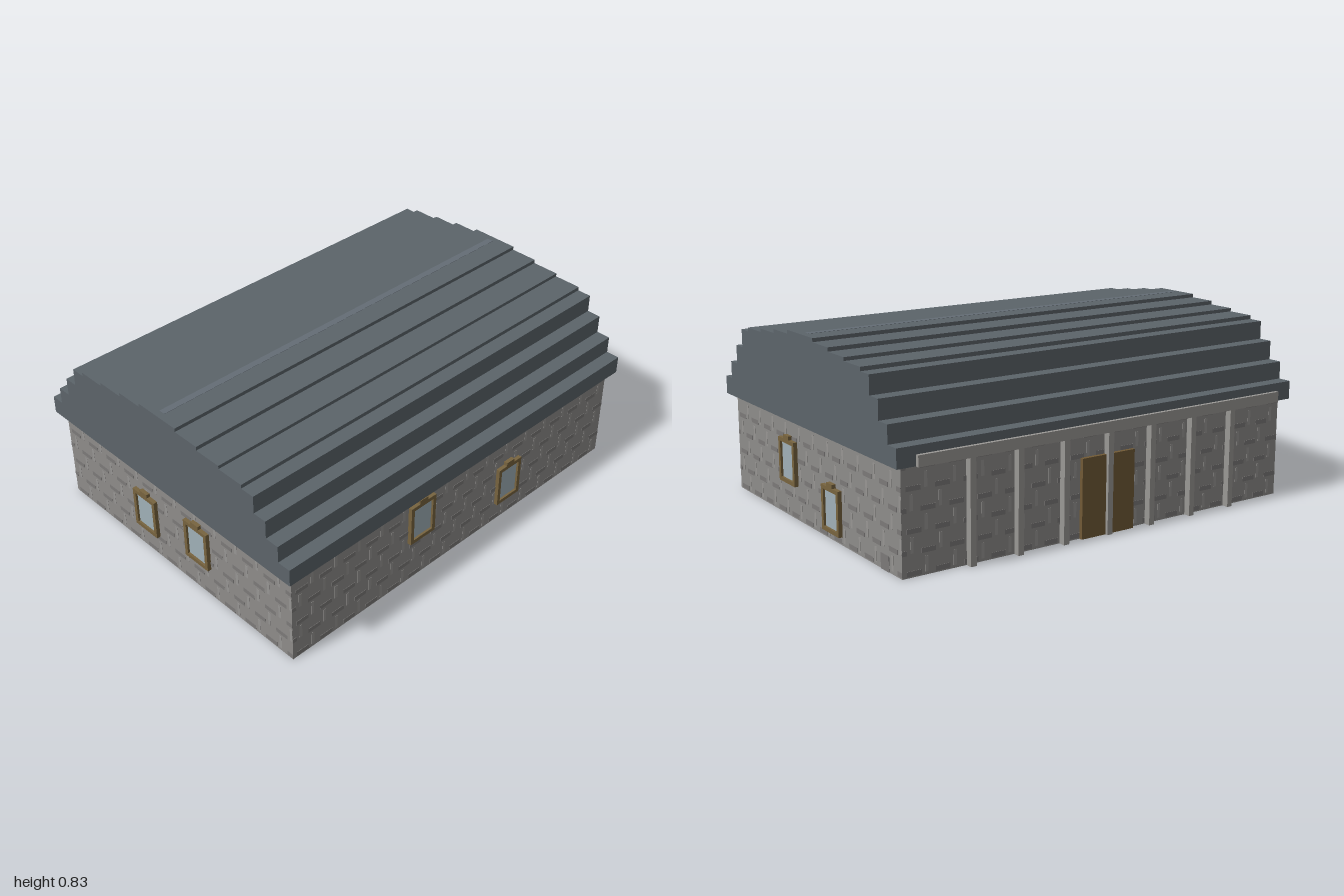
import * as THREE from 'three';
import { mergeGeometries } from 'three/addons/utils/BufferGeometryUtils.js';

const mat = (color) => new THREE.MeshStandardMaterial({ color });
const STONE = mat(0x8e8c8a), STONE_DARK = mat(0x7c7a79), STONE_LIGHT = mat(0x989694);
const ROOF = mat(0x5c646a), RIDGE = mat(0x646d75), FRAME = mat(0x78643f);
const GLASS = mat(0xa0b0b8), DOOR = mat(0x715a36), TRIM = mat(0x9a9895);

const CZ = 0.008;            // centre of the building in z
const HX = 0.965, HZ = 0.724; // half size of the walls
const WALL_TOP = 0.44;

function box(name, material, w, h, d, x, y, z) {
  const m = new THREE.Mesh(new THREE.BoxGeometry(w, h, d), material);
  m.name = name;
  m.position.set(x, y, z);
  return m;
}

// A group whose local +z points out of a wall
function wallFace(name, angle, x, z) {
  const g = new THREE.Group();
  g.name = name;
  g.position.set(x, 0, z);
  g.rotation.y = angle;
  return g;
}

// Shallow courses of dark stones and pale joints, merged into two meshes
function addMasonry(face, half) {
  const dark = [], light = [];
  const rowH = 0.083, pitch = 0.127;
  const strip = (list, x0, x1, y0, y1, d) => {
    x0 = Math.max(x0, -half);
    x1 = Math.min(x1, half);
    y1 = Math.min(y1, WALL_TOP);
    if (x1 - x0 < 0.005) return;
    list.push(new THREE.BoxGeometry(x1 - x0, y1 - y0, d)
      .translate((x0 + x1) / 2, (y0 + y1) / 2, 0));
  };
  for (let r = 0; r * rowH < WALL_TOP - 0.02; r++) {
    const y = r * rowH;
    for (let x = -half - (r % 2) * pitch / 2; x < half; x += pitch) {
      strip(dark, x + 0.02, x + 0.085, y + 0.006, y + 0.026, 0.003);
      strip(light, x + 0.1, x + 0.114, y + 0.012, y + 0.075, 0.002);
    }
  }
  for (const [name, list, material] of
    [['darkStones', dark, STONE_DARK], ['paleJoints', light, STONE_LIGHT]]) {
    const m = new THREE.Mesh(mergeGeometries(list), material);
    m.name = name;
    face.add(m);
  }
}

// Framed window with a small keystone; y is the sill height
function makeWindow(x, y) {
  const w = 0.072, h = 0.192, t = 0.017, k = 0.024;
  const outline = new THREE.Shape([
    [-w, 0], [w, 0], [w, h], [k, h], [k, h + 0.017], [-k, h + 0.017], [-k, h], [-w, h],
  ].map((p) => new THREE.Vector2(...p)));
  outline.holes.push(new THREE.Path([
    [-w + t, t], [-w + t, h - t], [w - t, h - t], [w - t, t],
  ].map((p) => new THREE.Vector2(...p))));
  const frame = new THREE.Mesh(
    new THREE.ExtrudeGeometry(outline, { depth: 0.018, bevelEnabled: false }), FRAME);
  frame.name = 'windowFrame';
  const g = new THREE.Group();
  g.name = 'window';
  g.add(frame, box('windowGlass', GLASS, 2 * (w - t), h - 2 * t, 0.016, 0, h / 2, 0));
  g.position.set(x, y, 0);
  return g;
}

// Stepped barrel roof extruded along x
function makeRoof() {
  const steps = [ // half width, top height
    [0.757, 0.52], [0.695, 0.597], [0.63, 0.68], [0.566, 0.76],
    [0.5, 0.777], [0.371, 0.792], [0.242, 0.809], [0.113, 0.825],
  ];
  const side = [];
  let y = WALL_TOP;
  for (const [w, top] of steps) {
    side.push([w, y], [w, top]);
    y = top;
  }
  const points = [...side, ...side.map(([w, h]) => [-w, h]).reverse()];
  const shape = new THREE.Shape(points.map((p) => new THREE.Vector2(...p)));
  const geo = new THREE.ExtrudeGeometry(shape, { depth: 2, bevelEnabled: false });
  geo.rotateY(-Math.PI / 2).translate(1, 0, CZ);
  const roof = new THREE.Mesh(geo, ROOF);
  roof.name = 'roof';
  return roof;
}

export function createModel() {
  const model = new THREE.Group();
  model.name = 'stoneHall';

  // Walls and roof
  model.add(box('walls', STONE, 2 * HX, WALL_TOP, 2 * HZ, 0, WALL_TOP / 2, CZ));
  model.add(makeRoof());
  model.add(box('ridgeStrip', RIDGE, 1.94, 0.006, 0.03, 0, 0.823, 0.005));

  // Four wall faces with masonry; windows as [across, sill height]
  const faces = [
    ['frontFace', 0, 0, CZ + HZ, HX, [[-0.251, 0.208], [0.299, 0.096]]],
    ['leftFace', Math.PI / 2, HX, CZ, HZ, [[-0.202, 0.15], [0.184, 0.035]]],
    ['rightFace', -Math.PI / 2, -HX, CZ, HZ, [[-0.178, 0.11], [0.162, 0.15]]],
    ['backFace', Math.PI, 0, CZ - HZ, HX, []],
  ];
  for (const [name, angle, x, z, half, windows] of faces) {
    const face = wallFace(name, angle, x, z);
    addMasonry(face, half);
    windows.forEach(([wx, wy]) => face.add(makeWindow(wx, wy)));
    model.add(face);
  }
  model.add(box('footStone', STONE_DARK, 0.005, 0.065, 0.062, HX, 0.0325, -0.59));

  // Back wall: double door, posts and gutter
  const back = CZ - HZ;
  for (const s of [-1, 1]) {
    model.add(box('doorLeaf', DOOR, 0.13, 0.34, 0.018, s * 0.069, 0.17, back - 0.008));
  }
  for (let i = -3; i <= 3; i++) {
    model.add(box('post', TRIM, 0.026, WALL_TOP, 0.03, i * 0.222, WALL_TOP / 2, back - 0.016));
  }
  model.add(box('gutter', TRIM, 1.834, 0.046, 0.045, 0, 0.462, -0.7425));

  return model;
}
